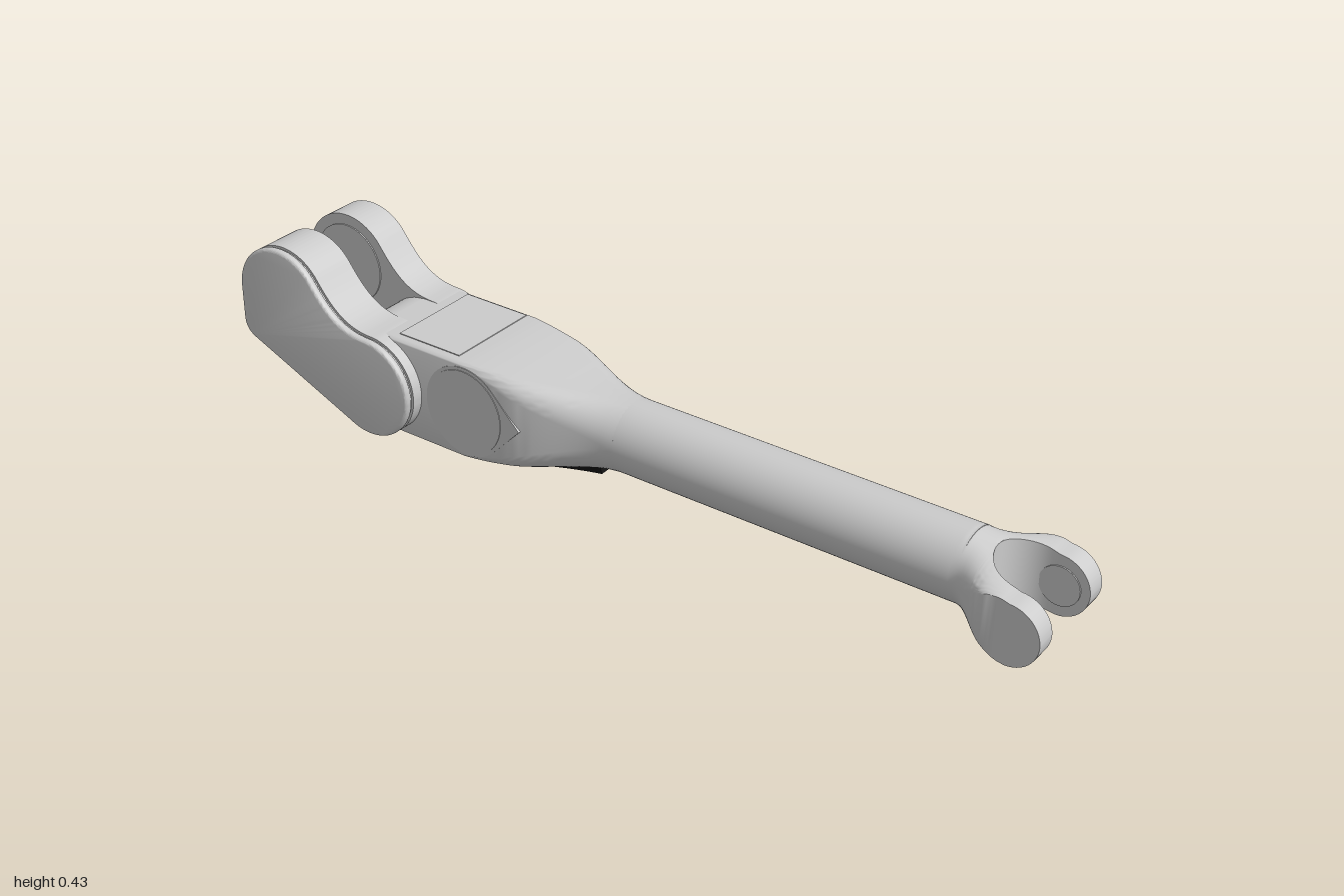
import * as THREE from 'three';
import { toCreasedNormals } from 'three/addons/utils/BufferGeometryUtils.js';

const CZ = -0.022; // z of the long axis
const CY = 0.17;
const grey = new THREE.MeshStandardMaterial({ color: 0xcccccc });
const dark = new THREE.MeshStandardMaterial({ color: 0x151515 });
const { lerp, smoothstep } = THREE.MathUtils;

function part(parent, name, geometry, material = grey) {
  const mesh = new THREE.Mesh(geometry, material);
  mesh.name = name;
  parent.add(mesh);
  return mesh;
}

// Skin over rings that advance along +x, each ring turning from +y to +z
function loft(rings) {
  const n = rings[0].length;
  const pos = [], index = [];
  rings.forEach(r => r.forEach(p => pos.push(...p)));
  for (let i = 0; i < rings.length - 1; i++) {
    for (let j = 0; j < n; j++) {
      const a = i * n + j, b = i * n + (j + 1) % n;
      index.push(a, b, a + n, b, b + n, a + n);
    }
  }
  const last = (rings.length - 1) * n;
  for (let j = 1; j < n - 1; j++) {
    index.push(0, j + 1, j, last, last + j, last + j + 1);
  }
  const geo = new THREE.BufferGeometry();
  geo.setAttribute('position', new THREE.Float32BufferAttribute(pos, 3));
  geo.setIndex(index);
  return toCreasedNormals(geo, 0.5);
}

// Side outline extruded from z0 to z1, with optional rounded rim or inset
function slab(shape, z0, z1, bevel = 0, inset = bevel) {
  const geo = new THREE.ExtrudeGeometry(shape, {
    depth: z1 - z0 - 2 * bevel, curveSegments: 28,
    bevelEnabled: bevel > 0 || inset > 0, bevelThickness: bevel,
    bevelSize: bevel, bevelOffset: -inset, bevelSegments: 4,
  });
  geo.translate(0, 0, z0 + bevel);
  return toCreasedNormals(geo, 0.5);
}

function disc(parent, name, x, y, z, r, depth) {
  const mesh = part(parent, name, new THREE.CylinderGeometry(r, r, depth, 48));
  mesh.rotation.x = Math.PI / 2;
  mesh.position.set(x, y, z);
}

const polygon = pts => new THREE.Shape(pts.map(p => new THREE.Vector2(...p)));

// Rounded rectangle section at x
function roundedRing(x, cy, hy, hz, r) {
  const ring = [];
  for (let k = 0; k < 4; k++) {
    const sy = k === 0 || k === 3 ? 1 : -1, sz = k < 2 ? 1 : -1;
    for (let j = 0; j <= 10; j++) {
      const a = (k + j / 10) * Math.PI / 2;
      ring.push([x, cy + sy * (hy - r) + r * Math.cos(a), CZ + sz * (hz - r) + r * Math.sin(a)]);
    }
  }
  return ring;
}

const ease = x => smoothstep(x, -0.4, -0.03);
const bodyTop = x => lerp(0.285, 0.255, ease(x));
const bodyBottom = x => lerp(0.049, 0.089, ease(x));

function bodyGeometry() {
  const rings = [-0.66, -0.5].map(x => roundedRing(x, 0.167, 0.118, 0.1325, 0.01));
  for (let i = 0; i <= 24; i++) {
    const x = lerp(-0.4, -0.03, i / 24);
    const hz = lerp(0.1325, 0.083, smoothstep(x, -0.29, -0.05));
    const hy = (bodyTop(x) - bodyBottom(x)) / 2;
    const r = Math.min(lerp(0.01, 0.083, i / 24), hy, hz);
    rings.push(roundedRing(x, bodyTop(x) - hy, hy, hz, r));
  }
  return loft(rings);
}

// One half of the wrist fork: round at the tube, flat at the tip
function forkHalf(side) {
  const xs = [], gap = 0.078, root = 0.835, tip = 0.93, r = 0.07;
  for (let i = 0; i < 6; i++) xs.push(lerp(0.775, root, i / 6));
  for (let i = 0; i <= 12; i++) xs.push(root + gap * (1 - Math.cos(i / 12 * Math.PI / 2)));
  for (let i = 0; i <= 12; i++) xs.push(tip + r * Math.sin(i / 12 * Math.PI / 2));
  return loft(xs.map(x => {
    const d = Math.min(1, (root + gap - x) / gap);
    const zi = x < root ? 0 : d > 0 ? gap * Math.sqrt(Math.max(0, 1 - d * d)) : gap;
    const zo = lerp(0.083, 0.127, smoothstep(x, 0.78, 0.88));
    const t = Math.min(1, Math.max(0, (x - 0.785) / (tip - 0.785)));
    const mid = lerp(0.172, 0.14, t);
    const h = x > tip ? Math.max(0.003, Math.sqrt(Math.max(0, r * r - (x - tip) ** 2))) : lerp(0.083, r, t);
    const flat = smoothstep(x, 0.78, 0.92);
    const top = [], bottom = [];
    for (let j = 0; j <= 12; j++) {
      const z = lerp(zi, zo, Math.sin(j / 12 * Math.PI / 2));
      const y = h * lerp(Math.sqrt(Math.max(0, 1 - (z / zo) ** 2)), 1, flat);
      top.push([x, mid + y, CZ + side * z]);
      bottom.unshift([x, mid - y, CZ + side * z]);
    }
    const ring = [...top, ...bottom];
    return side > 0 ? ring : ring.reverse();
  }));
}

// Bent outline shared by the elbow arms and the cover
function elbowShape() {
  const s = new THREE.Shape();
  s.moveTo(-1, 0.31);
  s.absarc(-0.88, 0.31, 0.12, Math.PI, 0.6, true);
  s.bezierCurveTo(-0.745, 0.33, -0.71, 0.287, -0.632, 0.286);
  s.absarc(-0.632, 0.168, 0.118, Math.PI / 2, -1.97, true);
  s.lineTo(-0.97, 0.185);
  s.quadraticCurveTo(-1, 0.198, -1, 0.23);
  s.closePath();
  return s;
}

// Round pad drawn out to a point toward the tube
function teardropShape() {
  const s = new THREE.Shape();
  s.absarc(-0.39, 0.168, 0.108, 0.75, Math.PI * 2 - 0.75, false);
  s.lineTo(-0.24, 0.168);
  s.closePath();
  return s;
}

export function createModel() {
  const model = new THREE.Group();
  model.name = 'armLink';

  // Main housing and tube
  part(model, 'housing', bodyGeometry());
  const tube = part(model, 'tube', new THREE.CylinderGeometry(0.083, 0.083, 0.83, 48));
  tube.rotation.z = Math.PI / 2;
  tube.position.set(0.375, 0.172, CZ);

  // Wrist fork
  const fork = new THREE.Group();
  fork.name = 'wristFork';
  model.add(fork);
  for (const side of [1, -1]) {
    part(fork, 'forkProng', forkHalf(side));
    disc(fork, 'forkPad', 0.935, 0.14, CZ + side * 0.0775, 0.045, 0.005);
  }

  // Elbow arms, their hub and the outer cover
  const elbow = new THREE.Group();
  elbow.name = 'elbow';
  model.add(elbow);
  const outline = elbowShape();
  part(elbow, 'rearElbowArm', slab(outline, -0.155, -0.07));
  part(elbow, 'frontElbowArm', slab(outline, 0.03, 0.137));
  part(elbow, 'coverSeam', slab(outline, 0.13, 0.148, 0, 0.006));
  part(elbow, 'elbowCover', slab(outline, 0.141, 0.16, 0.007));
  disc(elbow, 'elbowHub', -0.655, 0.167, -0.02, 0.117, 0.11);
  disc(elbow, 'frontPivotPad', -0.88, 0.31, 0.03, 0.095, 0.006);
  disc(elbow, 'rearPivotPad', -0.88, 0.31, -0.07, 0.095, 0.006);

  // Side pads
  const teardrop = teardropShape();
  part(model, 'frontPadRim', slab(teardrop, 0.1, 0.1115));
  part(model, 'rearPadRim', slab(teardrop, -0.1555, -0.145));
  disc(model, 'frontPad', -0.39, 0.168, 0.108, 0.1, 0.01);
  disc(model, 'rearPad', -0.39, 0.168, -0.152, 0.1, 0.01);
  disc(model, 'rearElbowPad', -0.632, 0.168, -0.152, 0.1, 0.01);

  // Top panel and underside vents
  part(model, 'topPanel', new THREE.BoxGeometry(0.17, 0.006, 0.23)).position.set(-0.505, 0.284, -0.028);
  for (let i = 0; i < 12; i++) {
    part(model, 'ventRib', new THREE.BoxGeometry(0.007, 0.006, 0.15)).position.set(-0.55 + i * 0.015, 0.049, CZ);
  }

  // Dark inlay under the taper
  const inlay = [];
  for (let i = 0; i <= 12; i++) {
    const x = lerp(-0.32, -0.08, i / 12);
    const w = i === 0 ? 0.08 : lerp(0.1, 0.058, i / 12);
    const y = bodyBottom(x) - 0.003;
    inlay.push([[x, y + 0.02, CZ - w], [x, y + 0.02, CZ + w], [x, y, CZ + w * 0.9], [x, y, CZ - w * 0.9]]);
  }
  part(model, 'undersideInlay', loft(inlay), dark);

  // Slightly tilted plate on a dark wedge below the elbow
  const guard = new THREE.Group();
  guard.name = 'elbowGuard';
  guard.position.set(0, 0, -0.03);
  guard.rotation.x = 0.07;
  model.add(guard);
  part(guard, 'guardWedge', slab(polygon([
    [-0.73, 0.085], [-0.77, 0.018], [-0.755, 0.009], [-0.72, 0.012], [-0.63, 0.052], [-0.63, 0.085],
  ]), -0.11, 0.11), dark);
  part(guard, 'guardPlate', slab(polygon([
    [-0.995, 0.146], [-1, 0.131], [-0.75, 0.016], [-0.735, 0.03],
  ]), -0.108, 0.108));
  return model;
}
